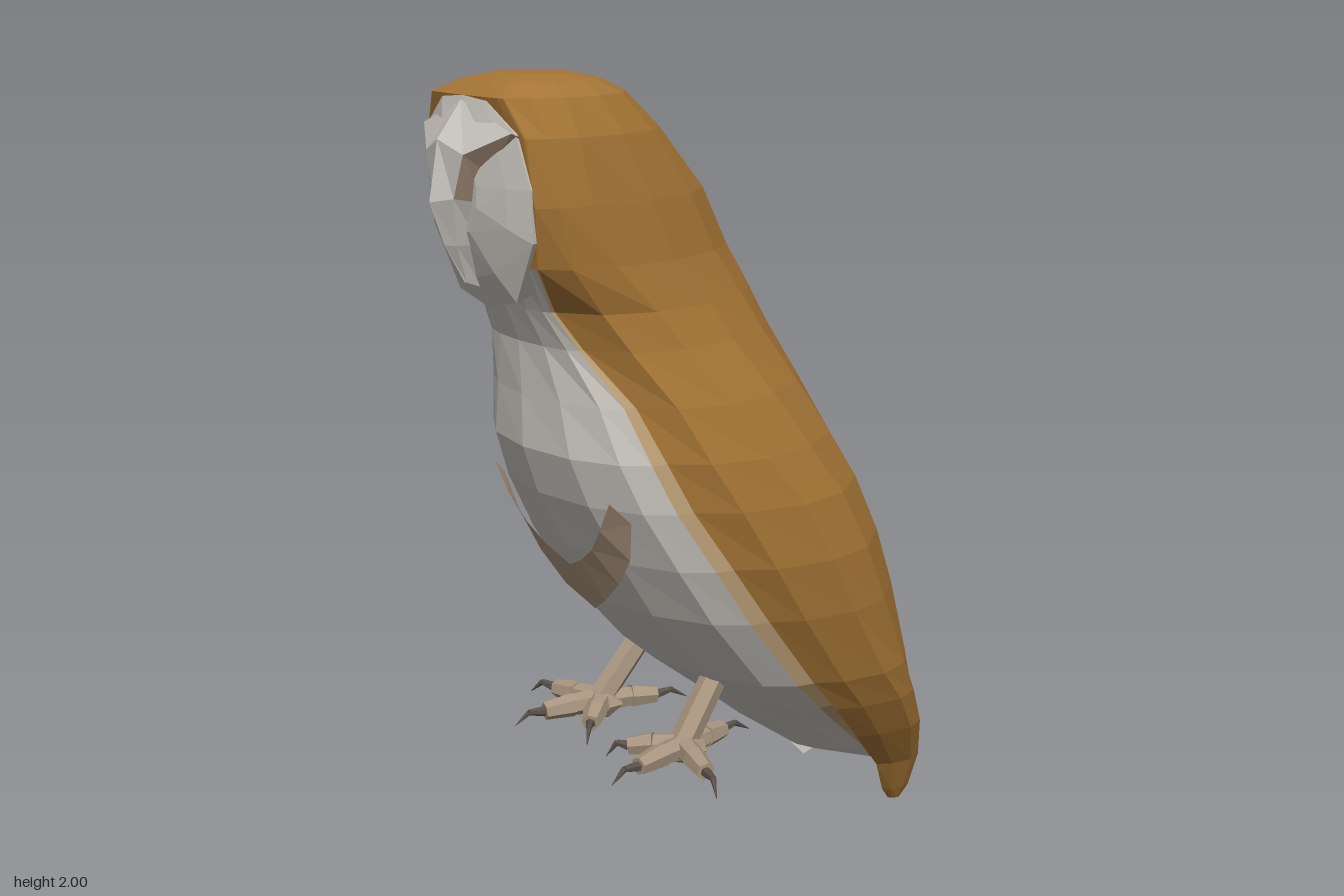
import * as THREE from 'three';

const mat = (name, color, extra = {}) =>
  Object.assign(new THREE.MeshStandardMaterial({ color, flatShading: true, ...extra }), { name });
const brown = mat('brown plumage', 0xa57535);
const pale = mat('pale plumage', 0xc9c5be, { side: THREE.DoubleSide });
const blend = mat('tawny edge', 0xb89c74);
const breast = mat('belly band', 0xae967f, { side: THREE.DoubleSide });
const eyeMat = mat('eye patch', 0x988370, { side: THREE.DoubleSide });
const skin = mat('foot skin', 0xa8957f);
const clawMat = mat('claw', 0x5a5049);

const V = (x, y, z) => new THREE.Vector3(x, y, z);
const rad = THREE.MathUtils.degToRad;

// Joins closed rings of equal length into faceted skin; pick(i, j) gives the material
function loft(name, rings, pick, flip = false) {
  const buckets = new Map();
  const tri = (m, a, b, c) => {
    if (V().subVectors(b, a).cross(V().subVectors(c, a)).length() < 1e-9) return;
    if (!buckets.has(m)) buckets.set(m, []);
    for (const p of flip ? [a, c, b] : [a, b, c]) buckets.get(m).push(flip ? -p.x : p.x, p.y, p.z);
  };
  for (let i = 0; i < rings.length - 1; i++) {
    const n = rings[i].length;
    for (let j = 0; j < n; j++) {
      const k = (j + 1) % n, m = pick(i, j);
      tri(m, rings[i][j], rings[i + 1][j], rings[i + 1][k]);
      tri(m, rings[i][j], rings[i + 1][k], rings[i][k]);
    }
  }
  const geo = new THREE.BufferGeometry();
  const all = [];
  let g = 0;
  for (const list of buckets.values()) {
    geo.addGroup(all.length / 3, list.length / 3, g++);
    for (const v of list) all.push(v);
  }
  geo.setAttribute('position', new THREE.Float32BufferAttribute(all, 3));
  geo.computeVertexNormals();
  const mesh = new THREE.Mesh(geo, [...buckets.keys()]);
  mesh.name = name;
  return mesh;
}

// Collapsed ring that closes the end of a loft
function cap(ring) {
  const c = ring.reduce((s, p) => s.add(p), V(0, 0, 0)).divideScalar(ring.length);
  return ring.map(() => c);
}

// Half outline from one centre point to the other, completed by its mirror
const mirrored = half => [...half, ...half.slice(1, -1).reverse().map(p => V(-p.x, p.y, p.z))];

// Brown outline at one height: colour edge, rounded side, then round to the back
function outerArc(y, xb, zb, w, zs, zr, xr = 0) {
  return [V(xb, y, zb), V(xb + (w - xb) * .71, y, zb + (zs - zb) * .36),
    ...[0, 22, 45, 68, 90].map(a => V(xr + (w - xr) * Math.cos(rad(a)), y, zs + (zr - zs) * Math.sin(rad(a))))];
}

// Body levels: y, front z, edge x, edge z, half width, widest z, back z
const levels = [
  [2.0, .49, .08, .47, .1, .43, .32], [1.985, .55, .11, .54, .16, .45, .25],
  [1.955, .597, .165, .585, .215, .46, .19], [1.87, .58, .222, .567, .255, .45, .1],
  [1.72, .56, .236, .556, .276, .43, -.03], [1.58, .545, .212, .535, .282, .37, -.1],
  [1.47, .5, .165, .465, .295, .27, -.165], [1.38, .465, .2, .41, .325, .21, -.21],
  [1.25, .46, .285, .325, .385, .13, -.285], [1.12, .46, .34, .275, .432, .05, -.36],
  [1.0, .42, .37, .22, .463, -.04, -.42], [.85, .345, .4, .125, .475, -.12, -.485],
  [.7, .255, .405, .02, .465, -.2, -.535], [.5, .08, .385, -.14, .435, -.33, -.585],
  [.4, -.05, .335, -.25, .355, -.42, -.595], [.28, -.2, .21, -.41, .22, -.5, -.615],
  [.14, -.4, .115, -.58, .12, -.61, -.65], [.04, -.66, .01, -.665, .012, -.668, -.672],
];

function bodyRing([y, zf, xb, zb, w, zs, zr]) {
  const front = [0, 30, 58, 78].map(a => V(xb * Math.sin(rad(a)), y, zb + (zf - zb) * Math.cos(rad(a))));
  return mirrored([...front, ...outerArc(y, xb, zb, w, zs, zr)]);
}

// Depth of the belly surface at x, y
function bellyZ(x, y) {
  const i = levels.findIndex(l => l[0] <= y);
  const a = levels[i - 1], b = levels[i], t = (a[0] - y) / (a[0] - b[0]);
  const [zf, xb, zb] = [1, 2, 3].map(k => a[k] + (b[k] - a[k]) * t);
  return zb + (zf - zb) * Math.sqrt(Math.max(0, 1 - (x / xb) ** 2));
}

// Open sheet between two point rows
function strip(name, top, bottom, material) {
  const pos = [];
  for (let i = 0; i < top.length - 1; i++) {
    for (const p of [top[i], bottom[i], bottom[i + 1], top[i], bottom[i + 1], top[i + 1]]) pos.push(p.x, p.y, p.z);
  }
  const geo = new THREE.BufferGeometry();
  geo.setAttribute('position', new THREE.Float32BufferAttribute(pos, 3));
  geo.computeVertexNormals();
  const mesh = new THREE.Mesh(geo, material);
  mesh.name = name;
  return mesh;
}

// Tapered six-sided rod from a to b
function rod(name, a, b, r1, r2, material) {
  const d = V().subVectors(b, a);
  const mesh = new THREE.Mesh(new THREE.CylinderGeometry(r2, r1, d.length(), 6), material);
  mesh.position.copy(a).addScaledVector(d, 0.5);
  mesh.quaternion.setFromUnitVectors(V(0, 1, 0), d.normalize());
  mesh.name = name;
  return mesh;
}

function makeFace() {
  const face = new THREE.Group();
  face.name = 'face';
  const edge = mirrored([[0, 1.955, .597], [.1, 1.947, .594], [.2, 1.88, .58], [.234, 1.76, .564],
    [.226, 1.64, .557], [.13, 1.495, .545], [0, 1.465, .54]].map(p => V(...p)));
  const dish = (s, rise) => edge.map(p => V(p.x * s, 1.76 + (p.y - 1.76) * s, p.z + (.632 - p.z) * rise));
  const rings = [edge.map(p => V(p.x * .92, 1.74 + (p.y - 1.74) * .94, p.z - .06)), edge, dish(.75, .42), dish(.4, .85)];
  rings.push(cap(rings[3]));
  face.add(loft('faceDisc', rings, () => pale));

  // Raised brow narrowing down into the beak, with the eye patches under the brow
  const centre = [[0, 1.945, .602], [0, 1.86, .665], [0, 1.72, .69], [0, 1.62, .655], [0, 1.53, .605]];
  const inner = [[.2, 1.882, .59], [.085, 1.83, .648], [.05, 1.73, .655], [.022, 1.62, .635], [.002, 1.53, .6]];
  const outer = [[.205, 1.872, .57], [.115, 1.79, .602], [.087, 1.72, .6], [.045, 1.62, .585], [.004, 1.515, .56]];
  for (const s of [1, -1]) {
    const side = row => row.map(([x, y, z]) => V(s * x, y, z));
    face.add(strip('browAndBeak', side(centre), side(inner), pale),
      strip(s > 0 ? 'leftEye' : 'rightEye', side(inner.slice(0, 3)), side(outer.slice(0, 3)), eyeMat),
      strip('beakSide', side(inner.slice(2)), side(outer.slice(2)), pale));
  }
  return face;
}

function makeWing(flip) {
  // Wing tip levels: y, edge x, edge z, half width, widest z, back z, inner x
  const rings = [
    [.5, .385, -.14, .435, -.33, -.585, 0], [.4, .362, -.235, .4, -.42, -.61, 0],
    [.28, .31, -.35, .345, -.51, -.655, .015], [.14, .235, -.49, .265, -.59, -.7, .01],
    [.04, .2, -.545, .222, -.6, -.67, .13], [0, .185, -.58, .2, -.6, -.63, .17],
  ].map(r => outerArc(...r).slice(0, 6));
  rings.push(cap(rings[5]));
  return loft(flip ? 'rightWing' : 'leftWing', rings, (i, j) => (j < 5 ? brown : pale), flip);
}

function makeLeg(s) {
  const leg = new THREE.Group();
  leg.name = s > 0 ? 'leftLeg' : 'rightLeg';
  const P = (x, y, z) => V(s * x, y, z);
  leg.add(rod('shank', P(.168, .5, 0), P(.19, .33, .13), .034, .036, skin));
  const pad = new THREE.Mesh(new THREE.IcosahedronGeometry(.055, 0), skin);
  pad.scale.set(1.1, .75, 1.2);
  pad.position.copy(P(.19, .325, .12));
  pad.name = 'footPad';
  leg.add(pad);
  // Each toe: joint, end, claw bend, claw tip
  const toes = [
    [[.27, .33, .145], [.345, .325, .165], [.395, .33, .18], [.43, .295, .195]],
    [[.205, .33, .2], [.22, .325, .28], [.225, .33, .325], [.23, .3, .365]],
    [[.135, .33, .175], [.09, .32, .22], [.065, .325, .24], [.045, .285, .26]],
    [[.17, .33, .04], [.15, .325, -.03], [.145, .33, -.075], [.14, .3, -.125]],
  ];
  for (const t of toes) {
    const [a, b, c, d] = t.map(p => P(...p));
    leg.add(rod('toe', P(.19, .33, .12), a, .036, .028, skin), rod('toeEnd', a, b, .032, .024, skin),
      rod('clawBase', b, c, .014, .008, clawMat), rod('clawTip', c, d, .008, .001, clawMat));
  }
  return leg;
}

export function createModel() {
  const owl = new THREE.Group();
  owl.name = 'owl';

  // Head, body and tail in one skin, pale in front
  const rings = levels.map(bodyRing);
  const skinRings = [cap(rings[0]), ...rings, cap(rings[rings.length - 1])];
  owl.add(loft('body', skinRings, (i, j) => {
    const k = Math.min(j, 19 - j);
    return i < 6 || k > 3 ? brown : k === 3 ? blend : pale;
  }));
  owl.add(makeFace(), makeWing(false), makeWing(true));

  // Crescent of feathers across the belly: x, y, lift off the surface
  const upper = [[0, .8, .016], [.08, .835, .018], [.15, .88, .02], [.21, .945, .022], [.265, 1.025, .022]];
  const lower = [[0, .67, .03], [.09, .72, .028], [.18, .79, .022], [.25, .87, .014], [.29, .975, .01]];
  for (const s of [1, -1]) {
    const on = row => row.map(([x, y, lift]) => V(s * x, y, bellyZ(x, y) + lift));
    owl.add(strip(s > 0 ? 'leftBellyBand' : 'rightBellyBand', on(upper), on(lower), breast));
  }

  owl.add(makeLeg(1), makeLeg(-1));
  return owl;
}
